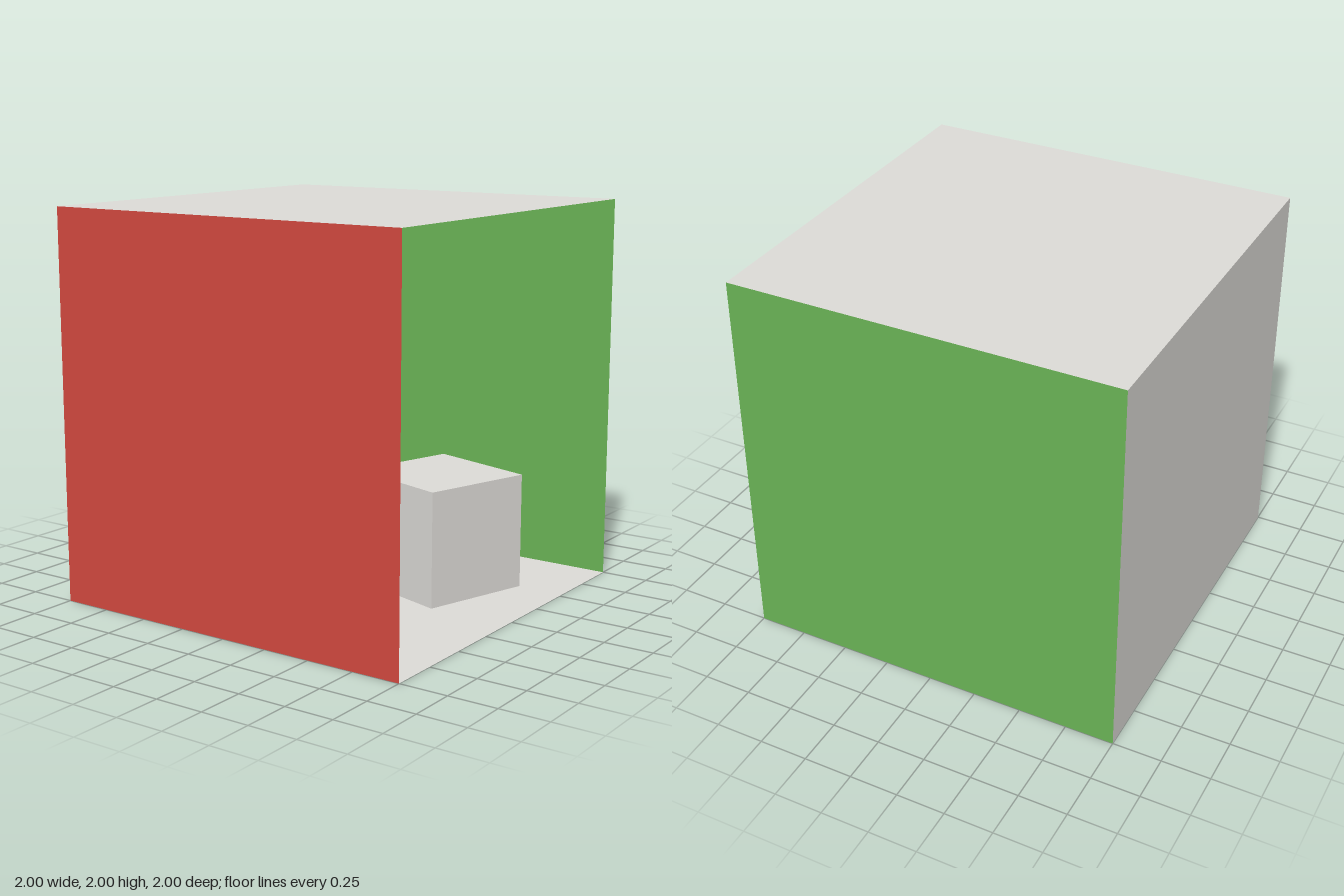
import * as THREE from 'three';

const material = (color) => new THREE.MeshStandardMaterial({ color, side: THREE.DoubleSide, flatShading: true });

export function createModel() {
  const group = new THREE.Group();
  const grey = material(0xdddbd7);
  const red = material(0xd0483f);
  const green = material(0x69b355);

  // Room: five thin panels, open at the front
  const panel = (name, mat, position, rotation) => {
    const mesh = new THREE.Mesh(new THREE.PlaneGeometry(2, 2), mat);
    mesh.name = name;
    mesh.position.set(...position);
    mesh.rotation.set(...rotation);
    group.add(mesh);
  };
  const q = Math.PI / 2;
  panel('floor', grey, [0, 0, 0], [-q, 0, 0]);
  panel('ceiling', grey, [0, 2, 0], [q, 0, 0]);
  panel('backWall', grey, [0, 1, -1], [0, 0, 0]);
  panel('redWall', red, [-1, 1, 0], [0, q, 0]);
  panel('greenWall', green, [1, 1, 0], [0, -q, 0]);

  // Blocks: four floor corners [x, z] raised to a height
  const block = (name, corners, height) => {
    const shape = new THREE.Shape(corners.map(([x, z]) => new THREE.Vector2(x, -z)));
    const geometry = new THREE.ExtrudeGeometry(shape, { depth: height, bevelEnabled: false });
    geometry.rotateX(-q);
    const mesh = new THREE.Mesh(geometry, grey);
    mesh.name = name;
    group.add(mesh);
  };
  block('tallBlock', [[-0.54, 0.08], [0.03, -0.09], [-0.14, -0.67], [-0.71, -0.49]], 1.2);
  block('shortBlock', [[0.53, 0.75], [0.7, 0.17], [0.13, 0], [-0.05, 0.57]], 0.6);

  return group;
}
